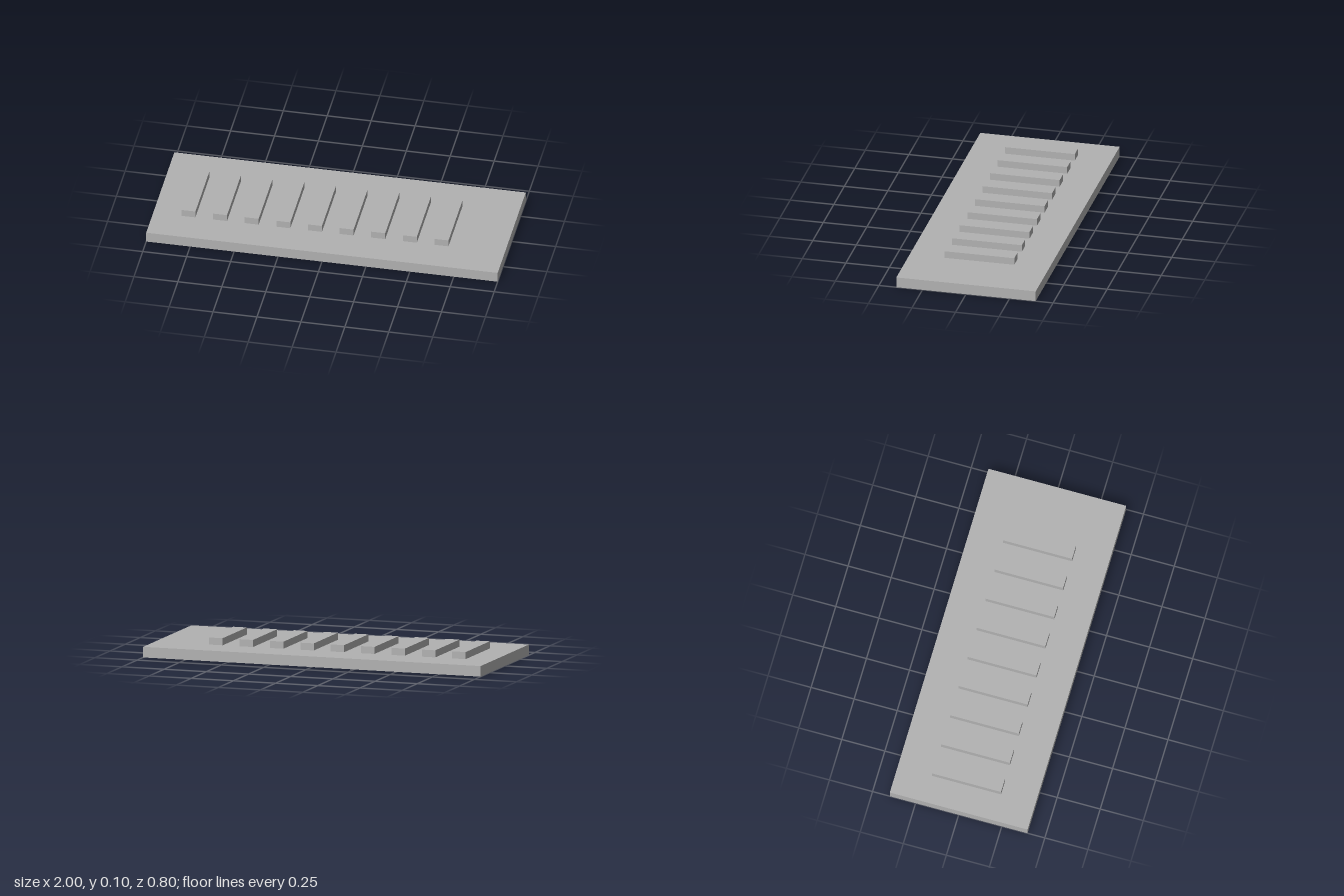
import * as THREE from 'three';

export function createModel() {
  const model = new THREE.Group();
  const grey = new THREE.MeshStandardMaterial({ color: 0xb2b2b2 });
  grey.name = 'grey';

  const addBox = (name, width, height, depth, x, bottom) => {
    const mesh = new THREE.Mesh(new THREE.BoxGeometry(width, height, depth), grey);
    mesh.name = name;
    mesh.position.set(x, bottom + height / 2, 0);
    model.add(mesh);
  };

  // Flat base plate
  const baseHeight = 0.06;
  addBox('basePlate', 2, baseHeight, 0.8, 0, 0);

  // Row of raised ribs, starting near the right end
  const ribCount = 9, firstX = -0.8, spacing = 0.18;
  for (let i = 0; i < ribCount; i++) {
    addBox(`rib${i + 1}`, 0.08, 0.04, 0.4, firstX + i * spacing, baseHeight);
  }

  return model;
}
